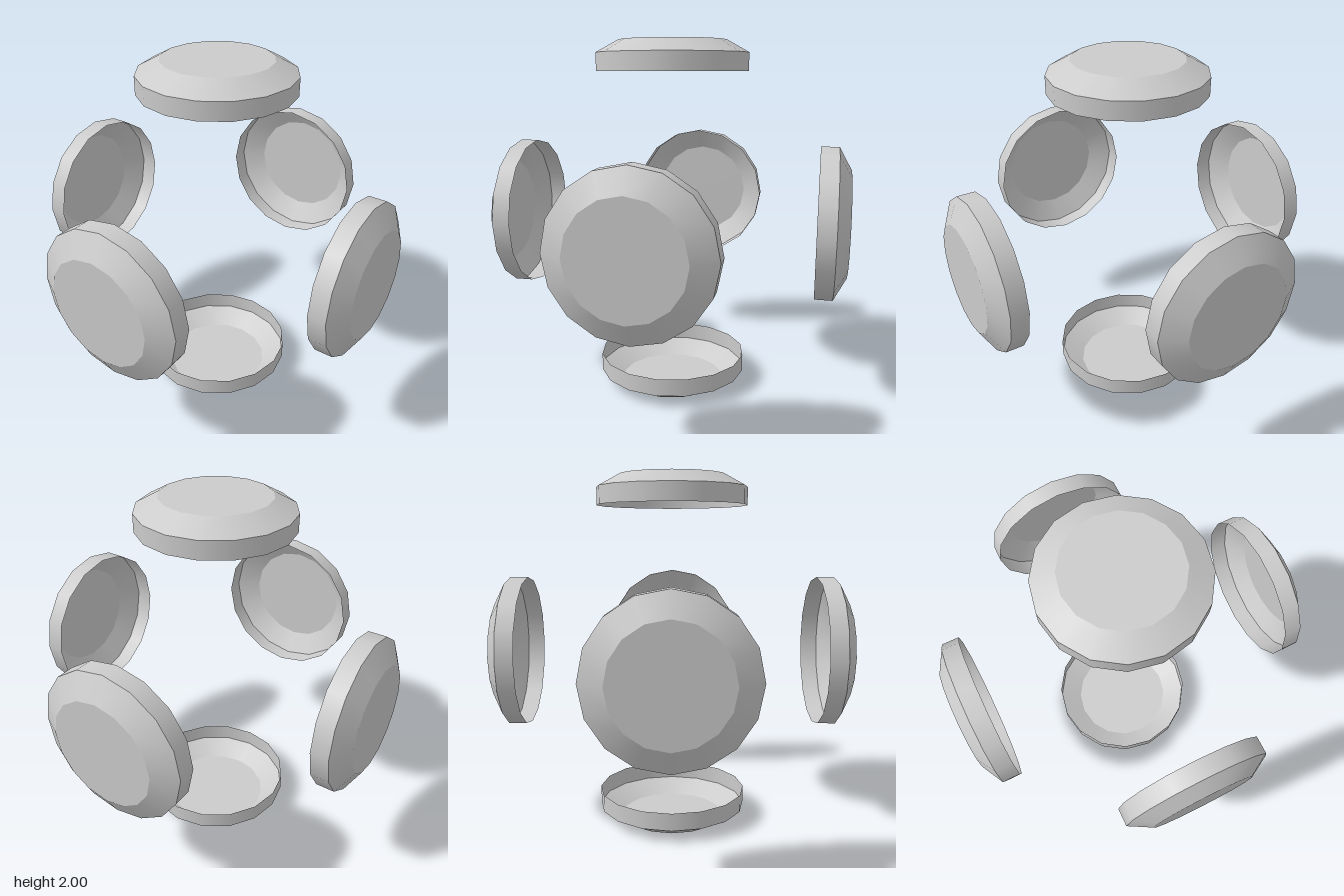
import * as THREE from 'three';
import { mergeGeometries } from 'three/addons/utils/BufferGeometryUtils.js';

const SIDES = 16;
const RIM_RADIUS = 0.427;
const FACE_RADIUS = 0.3;
const INNER = 0.83;    // distance of the open rim from the centre
const SHOULDER = 0.93; // where the wall meets the bevel
const OUTER = 1;       // flat face

// Open shallow cap pointing along +y: smooth wall and bevel, sharp edges between
function capGeometry() {
  const wall = new THREE.CylinderGeometry(RIM_RADIUS, RIM_RADIUS, SHOULDER - INNER, SIDES, 1, true)
    .translate(0, (INNER + SHOULDER) / 2, 0);
  const bevel = new THREE.CylinderGeometry(FACE_RADIUS, RIM_RADIUS, OUTER - SHOULDER, SIDES, 1, true)
    .translate(0, (SHOULDER + OUTER) / 2, 0);
  const face = new THREE.CircleGeometry(FACE_RADIUS, SIDES)
    .rotateX(-Math.PI / 2)
    .translate(0, OUTER, 0);
  return mergeGeometries([wall, bevel, face]);
}

export function createModel() {
  const model = new THREE.Group();
  model.name = 'capRing';
  const material = new THREE.MeshStandardMaterial({ color: 0xcccccc, side: THREE.DoubleSide });
  const geometry = capGeometry();

  // One cap on each of the six axis directions, hollow side toward the centre
  const q = Math.PI / 2;
  const caps = [
    ['topCap', 0, 0],
    ['bottomCap', 2 * q, 0],
    ['frontCap', q, 0],
    ['backCap', -q, 0],
    ['leftCap', 0, -q],
    ['rightCap', 0, q],
  ];
  for (const [name, rx, rz] of caps) {
    const cap = new THREE.Mesh(geometry, material);
    cap.name = name;
    cap.rotation.set(rx, 0, rz);
    cap.position.y = 1;
    model.add(cap);
  }
  return model;
}
